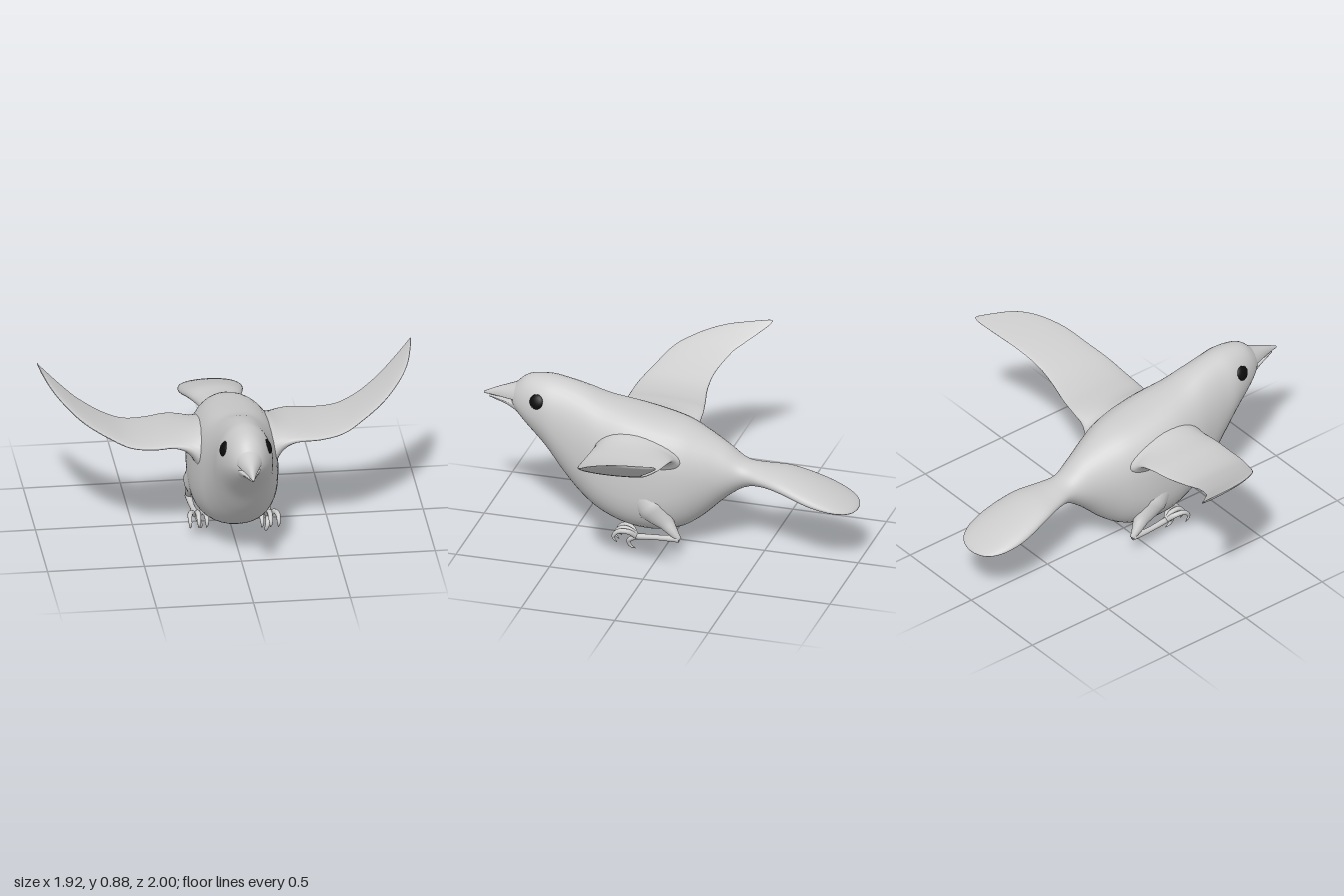
import * as THREE from 'three';

const grey = new THREE.MeshStandardMaterial({ color: 0xcccccc });
const black = new THREE.MeshStandardMaterial({ color: 0x0c0c0c });
const TAU = Math.PI * 2;

// Smooth closed skin over a list of rings (arrays of Vector3), capped at both ends.
function skin(name, rings) {
  const n = rings[0].length, last = rings.length - 1;
  const pts = rings.flat(), index = [];
  for (let i = 0; i < last; i++) {
    for (let j = 0; j < n; j++) {
      const a = i * n + j, b = i * n + (j + 1) % n;
      index.push(a, a + n, b, b, a + n, b + n);
    }
  }
  [0, last].forEach((r) => {
    const centre = new THREE.Vector3();
    rings[r].forEach((p) => centre.addScaledVector(p, 1 / n));
    const c = pts.push(centre) - 1;
    for (let j = 0; j < n; j++) {
      const a = r * n + j, b = r * n + (j + 1) % n;
      index.push(c, r ? b : a, r ? a : b);
    }
  });
  const geo = new THREE.BufferGeometry().setFromPoints(pts);
  geo.setIndex(index);
  geo.computeVertexNormals();
  const mesh = new THREE.Mesh(geo, grey);
  mesh.name = name;
  return mesh;
}

// Interpolates rows of numbers smoothly; returns steps per span rows.
function smoothRows(rows, steps) {
  const curve = (o) => new THREE.CatmullRomCurve3(
    rows.map((r) => new THREE.Vector3(r[o], r[o + 1] ?? 0, r[o + 2] ?? 0)), false, 'catmullrom');
  const a = curve(0), b = curve(3), count = (rows.length - 1) * steps;
  return Array.from({ length: count + 1 }, (_, i) =>
    [...a.getPoint(i / count).toArray(), ...b.getPoint(i / count).toArray()]);
}

const power = (v, n) => Math.sign(v) * Math.abs(v) ** (2 / n);

// Loft along z, front to back. Rows: z, top, bottom, height of widest point, half width, squareness.
function bodyLoft(name, rows, sides = 40) {
  return skin(name, smoothRows(rows, 5).map(([z, top, bottom, mid, w, n]) =>
    Array.from({ length: sides }, (_, j) => {
      const a = j / sides * TAU, s = power(Math.sin(a), n);
      return new THREE.Vector3(w * power(Math.cos(a), n), mid + s * (s > 0 ? top - mid : mid - bottom), z);
    })));
}

// Tube through points with a radius for each point.
function taperTube(name, points, radii, sides = 12) {
  const curve = new THREE.CatmullRomCurve3(points.map((p) => new THREE.Vector3(...p)));
  const count = (points.length - 1) * 6, frames = curve.computeFrenetFrames(count);
  const rings = Array.from({ length: count + 1 }, (_, i) => {
    const t = i / count * (radii.length - 1), k = Math.min(Math.floor(t), radii.length - 2);
    const r = THREE.MathUtils.lerp(radii[k], radii[k + 1], t - k), c = curve.getPointAt(i / count);
    return Array.from({ length: sides }, (_, j) => c.clone()
      .addScaledVector(frames.normals[i], r * Math.cos(j / sides * TAU))
      .addScaledVector(frames.binormals[i], -r * Math.sin(j / sides * TAU)));
  });
  return skin(name, rings);
}

// Wing rows: x, leading z, trailing z, top, bottom
const wingRows = [
  [0.13, 0.37, -0.13, 0.66, 0.36],
  [0.19, 0.36, -0.10, 0.645, 0.42],
  [0.24, 0.345, -0.085, 0.63, 0.51],
  [0.31, 0.34, -0.08, 0.62, 0.56],
  [0.43, 0.345, -0.055, 0.617, 0.575],
  [0.55, 0.335, -0.03, 0.637, 0.602],
  [0.66, 0.29, -0.035, 0.687, 0.655],
  [0.77, 0.23, -0.08, 0.752, 0.722],
  [0.86, 0.135, -0.14, 0.813, 0.788],
  [0.915, 0.03, -0.18, 0.853, 0.833],
  [0.945, -0.09, -0.20, 0.875, 0.860],
  [0.96, -0.18, -0.205, 0.888, 0.880],
];

function wing(side) {
  const sides = 32, right = side < 0;
  const rings = smoothRows(wingRows, 5).map(([x, lead, trail, top, bottom]) => {
    // the right wing is held slightly lower and swept further back
    const tip = right ? Math.max(0, (x - 0.35) / 0.61) : 0;
    const sweep = right ? 0.05 * Math.max(0, (x - 0.8) / 0.16) : 0;
    return Array.from({ length: sides }, (_, j) => {
      const a = j / sides * TAU, c = Math.cos(a);
      return new THREE.Vector3(side * x,
        (top + bottom) / 2 - 0.055 * tip + (top - bottom) / 2 * Math.sin(a) * (1 + 0.25 * c),
        (lead + trail) / 2 - sweep + (lead - trail) / 2 * c);
    });
  });
  if (right) rings.reverse();
  return skin(right ? 'rightWing' : 'leftWing', rings);
}

function leg(side) {
  const g = new THREE.Group(), s = side, lift = side < 0 ? 0.035 : 0;
  g.name = side < 0 ? 'rightLeg' : 'leftLeg';
  const ankle = [s * 0.185, 0.085 + lift / 2, 0.13];
  g.add(taperTube('thigh', [[s * 0.13, 0.32, 0.1], [s * 0.165, 0.22, 0.01], [s * 0.195, 0.135, -0.075], [s * 0.2, 0.105, -0.105]],
    [0.1, 0.09, 0.04, 0.012], 20));
  g.add(taperTube('shank', [[s * 0.2, 0.108, -0.1], [s * 0.195, 0.1, 0], ankle], [0.018, 0.014, 0.016]));
  // three curled front toes
  [-0.045, 0, 0.04].forEach((d) => {
    const x = s * 0.185 + d;
    g.add(taperTube('toe', [ankle, [x - d * 0.3, 0.118 + lift / 2, 0.165], [x, 0.12 + lift / 2, 0.215],
      [x, 0.085 + lift / 2, 0.243], [x, 0.058 + lift / 2, 0.222]], [0.014, 0.014, 0.013, 0.01, 0.002], 10));
  });
  // hind toe hanging down
  g.add(taperTube('hindToe', [ankle, [s * 0.175, 0.05 + lift, 0.175], [s * 0.168, 0.018 + lift, 0.165], [s * 0.168, 0.008 + lift, 0.14]],
    [0.014, 0.013, 0.01, 0.002], 10));
  return g;
}

function eye(side) {
  const m = new THREE.Mesh(new THREE.SphereGeometry(0.041, 24, 16), black);
  m.name = side < 0 ? 'rightEye' : 'leftEye';
  m.scale.set(0.5, 1, 1);
  m.position.set(side * 0.109, 0.738, 0.685);
  m.rotation.set(0, -side * 0.2, side * 0.4);
  return m;
}

export function createModel() {
  const bird = new THREE.Group();
  bird.name = 'bird';

  // head, trunk and tail in one smooth skin
  bird.add(bodyLoft('body', [
    [0.85, 0.745, 0.675, 0.71, 0.02, 2],
    [0.825, 0.78, 0.635, 0.70, 0.065, 2],
    [0.76, 0.833, 0.565, 0.68, 0.105, 2],
    [0.65, 0.847, 0.45, 0.64, 0.142, 2],
    [0.55, 0.833, 0.315, 0.56, 0.157, 2.05],
    [0.45, 0.807, 0.21, 0.48, 0.178, 2.15],
    [0.34, 0.768, 0.142, 0.41, 0.206, 2.35],
    [0.19, 0.738, 0.095, 0.38, 0.229, 2.55],
    [0.04, 0.71, 0.085, 0.38, 0.23, 2.5],
    [-0.08, 0.685, 0.11, 0.40, 0.208, 2.3],
    [-0.18, 0.645, 0.175, 0.42, 0.17, 2.1],
    [-0.30, 0.58, 0.29, 0.43, 0.118, 2],
    [-0.40, 0.51, 0.362, 0.44, 0.088, 2],
    [-0.50, 0.492, 0.388, 0.44, 0.108, 2],
    [-0.62, 0.48, 0.38, 0.425, 0.143, 2],
    [-0.77, 0.435, 0.338, 0.38, 0.165, 2],
    [-0.88, 0.39, 0.32, 0.35, 0.155, 2],
    [-0.95, 0.355, 0.313, 0.332, 0.122, 2],
    [-0.985, 0.335, 0.312, 0.323, 0.078, 2],
    [-1.0, 0.323, 0.315, 0.319, 0.03, 2],
  ]));

  // beak halves with a narrow mouth gap
  bird.add(bodyLoft('upperBeak', [
    [1.0, 0.704, 0.693, 0.698, 0.005, 2],
    [0.93, 0.738, 0.692, 0.702, 0.025, 2],
    [0.86, 0.766, 0.695, 0.706, 0.052, 2],
    [0.78, 0.8, 0.698, 0.71, 0.082, 2],
  ], 20));
  bird.add(bodyLoft('lowerBeak', [
    [0.97, 0.687, 0.677, 0.682, 0.005, 2],
    [0.93, 0.686, 0.667, 0.68, 0.02, 2],
    [0.86, 0.687, 0.648, 0.677, 0.046, 2],
    [0.78, 0.69, 0.598, 0.67, 0.076, 2],
  ], 20));

  for (const side of [1, -1]) bird.add(wing(side), leg(side), eye(side));
  return bird;
}
